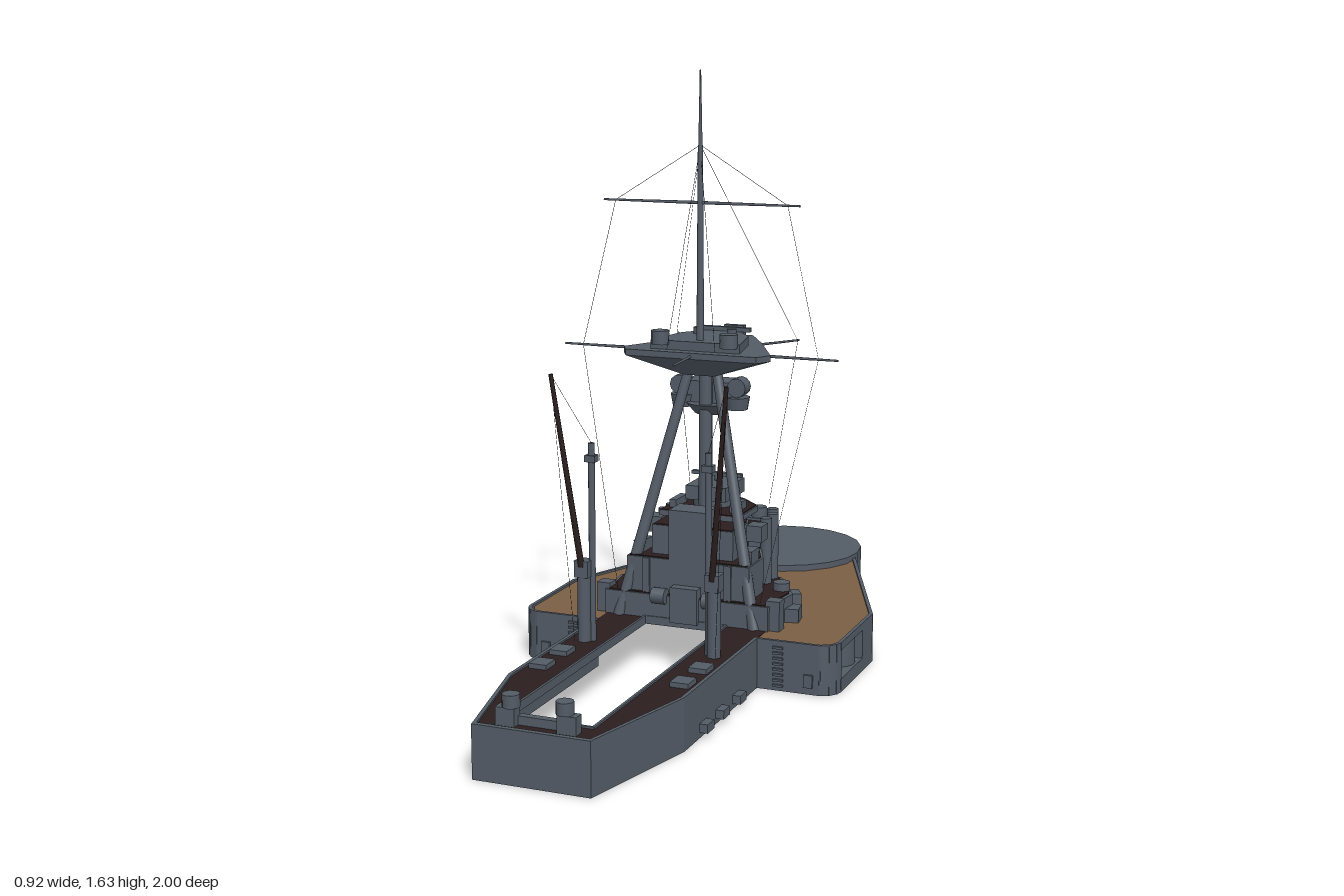
import * as THREE from 'three';
import { ConvexGeometry } from 'three/addons/geometries/ConvexGeometry.js';

const V = (x, y, z) => new THREE.Vector3(x, y, z);

export function createModel() {
  const root = new THREE.Group();
  const paint = (name, color) => {
    const m = new THREE.MeshStandardMaterial({ color });
    m.name = name;
    return m;
  };
  const grey = paint('warship grey', 0x535b66);
  const wood = paint('deck wood', 0x7a5e43);
  const dark = paint('dark brown deck', 0x2a1d1d);
  const black = paint('rigging black', 0x1d1d20);

  const add = (name, geo, mat, x = 0, y = 0, z = 0) => {
    const m = new THREE.Mesh(geo, mat);
    m.name = name;
    m.position.set(x, y, z);
    root.add(m);
    return m;
  };
  // box given by its centre in x and z and by its bottom and top
  const box = (name, w, d, x, z, y0, y1, mat = grey, turn = 0) => {
    const m = add(name, new THREE.BoxGeometry(w, y1 - y0, d), mat, x, (y0 + y1) / 2, z);
    m.rotation.y = turn;
    return m;
  };
  const drum = (name, r, x, z, y0, y1, mat = grey, sides = 16, rTop = r) =>
    add(name, new THREE.CylinderGeometry(rTop, r, y1 - y0, sides), mat, x, (y0 + y1) / 2, z);
  const rod = (name, a, b, r, mat = grey, r2 = r, sides = 8) => {
    const dir = b.clone().sub(a);
    const m = add(name, new THREE.CylinderGeometry(r2, r, dir.length(), sides), mat);
    m.position.copy(a).add(b).multiplyScalar(0.5);
    m.quaternion.setFromUnitVectors(V(0, 1, 0), dir.normalize());
    return m;
  };
  // flat plate from [x, z] corners
  const slab = (name, pts, y0, y1, mat, hole) => {
    const toV = p => p.map(([x, z]) => new THREE.Vector2(x, -z));
    const shape = new THREE.Shape(toV(pts));
    if (hole) shape.holes.push(new THREE.Path(toV(hole)));
    const geo = new THREE.ExtrudeGeometry(shape, { depth: y1 - y0, bevelEnabled: false });
    return add(name, geo.rotateX(-Math.PI / 2), mat, 0, y0, 0);
  };
  const mirror = half => [...half, ...half.map(([x, z]) => [-x, z]).reverse()];
  // upright plating along [x, z] points
  const wall = (name, pts, y0, y1, t = 0.01) => {
    for (let i = 0; i + 1 < pts.length; i++) {
      const [ax, az] = pts[i], [bx, bz] = pts[i + 1];
      box(name, Math.hypot(bx - ax, bz - az) + t * 0.6, t, (ax + bx) / 2, (az + bz) / 2, y0, y1, grey,
        Math.atan2(az - bz, bx - ax));
    }
  };

  // decks
  const opening = [[0.12, 0.05], [0.12, 0.908], [-0.12, 0.908], [-0.12, 0.05]];
  slab('woodDeck', mirror([[0.23, -0.74], [0.45, -0.2], [0.45, 0.07], [0.435, 0.105], [0.41, 0.122], [0.235, 0.122], [0.235, 0.045]]),
    0.125, 0.132, wood);
  slab('aftDeck', mirror([[0.235, 0.03], [0.235, 0.64], [0.145, 0.985]]), 0.125, 0.133, dark, opening);
  slab('midshipUnderside', mirror([[0.445, -0.2], [0.445, 0.07], [0.41, 0.12], [0.235, 0.12], [0.235, 0.045]]), 0.12, 0.125, dark);
  wall('openingCoaming', [...opening, opening[0]], 0.115, 0.138, 0.007);

  // forward gun barbette, open underneath
  const shell = grey.clone();
  shell.name = 'shell grey';
  shell.side = THREE.DoubleSide;
  add('barbetteWall', new THREE.CylinderGeometry(0.24, 0.24, 0.15, 20, 1, true), shell, 0, 0.075, -0.76);
  drum('barbetteTop', 0.24, 0, -0.76, 0.115, 0.15, grey, 20);

  // hull plating
  wall('sternPlate', [[-0.15, 0.99], [0.15, 0.99]], 0, 0.138, 0.014);
  for (const s of [-1, 1]) {
    const M = pts => pts.map(([x, z]) => [s * x, z]);
    wall('aftHullSide', M([[0.235, 0.125], [0.235, 0.64], [0.15, 0.99]]), 0, 0.138);
    wall('innerBulkhead', M([[0.235, 0.12], [0.235, -0.18]]), 0.04, 0.124);
    wall('bulgeEnd', M([[0.455, 0.08], [0.45, 0.098], [0.437, 0.115], [0.415, 0.126], [0.235, 0.126]]), 0, 0.138);
    // casemate recesses along the bulge
    const runs = [
      [[0.455, 0.08], [0.455, -0.2], [[0.0, 0.19]]],
      [[0.455, -0.2], [0.235, -0.74], [[0.02, 0.18], [0.2, 0.36], [0.38, 0.54]]]
    ];
    for (const [a, b, cuts] of runs) {
      const len = Math.hypot(b[0] - a[0], b[1] - a[1]);
      const u = [(b[0] - a[0]) / len, (b[1] - a[1]) / len];
      const at = (k, depth) => [a[0] + u[0] * k + u[1] * depth, a[1] + u[1] * k - u[0] * depth];
      wall('lowerPlating', M([a, b]), 0, 0.037);
      wall('upperPlating', M([a, b]), 0.117, 0.138);
      let from = 0;
      for (const [k0, k1] of cuts) {
        if (k0 > from) wall('casematePlating', M([at(from, 0), at(k0, 0)]), 0.037, 0.117);
        const notch = M([at(k0, 0), at(k0, 0.035), at(k1, 0.06), at(k1, 0)]);
        wall('casemateRecess', notch, 0.034, 0.12, 0.006);
        slab('casemateFloor', notch, 0.032, 0.037, grey);
        slab('casemateRoof', notch, 0.117, 0.121, grey);
        const [cx, cz] = at(k1 - 0.055, 0.05);
        drum('casemateShield', 0.048, s * cx, cz, 0.037, 0.117, grey, 14);
        from = k1;
      }
      wall('casematePlating', M([at(from, 0), at(len, 0)]), 0.037, 0.117);
    }
    // ladders and fittings
    for (let i = 0; i < 8; i++) box('ladderRung', 0.028, 0.008, s * 0.3, 0.135, 0.012 + i * 0.015, 0.018 + i * 0.015);
    box('sideDoor', 0.025, 0.012, s * 0.385, 0.133, 0.02, 0.055);
    for (const z of [0.29, 0.41, 0.52]) box('sideFitting', 0.024, 0.045, s * 0.25, z, 0.015, 0.038);
    for (const z of [0.42, 0.54]) box('deckLocker', 0.05, 0.055, s * 0.195, z, 0.13, 0.146);
    box('sternWinchBed', 0.05, 0.03, s * 0.08, 0.955, 0.13, 0.178);
    drum('sternWinch', 0.022, s * 0.07, 0.955, 0.178, 0.21, grey, 10);

    // boat derricks
    drum('derrickBase', 0.018, s * 0.185, 0.305, 0.13, 0.34);
    box('derrickStep', 0.04, 0.04, s * 0.185, 0.305, 0.31, 0.355);
    drum('derrickPost', 0.009, s * 0.165, 0.295, 0.13, 0.67, grey, 10);
    box('derrickCap', 0.03, 0.025, s * 0.165, 0.295, 0.62, 0.638);
    rod('derrickBoom', V(s * 0.185, 0.34, 0.32), V(s * 0.243, 0.86, 0.372), 0.009, dark, 0.006);
    rod('derrickStay', V(s * 0.165, 0.67, 0.295), V(s * 0.243, 0.86, 0.372), 0.0006, black, 0.0006, 4);
    rod('derrickFall', V(s * 0.243, 0.86, 0.372), V(s * 0.2, 0.14, 0.335), 0.0006, black, 0.0006, 4);
  }
  box('sternBench', 0.2, 0.02, 0, 0.94, 0.13, 0.155);

  // superstructure tiers
  const tier = (name, half, y0, y1) => {
    slab(name, mirror(half), y0, y1, grey);
    slab(name + 'Floor', mirror(half.map(([x, z]) => [x * 0.96, z * 0.96 - 0.003])), y1, y1 + 0.003, dark);
  };
  tier('lowerHouse', [[0.12, -0.27], [0.18, -0.24], [0.26, -0.1], [0.24, 0.05]], 0.13, 0.2);
  tier('middleHouse', [[0.12, -0.24], [0.15, -0.15], [0.18, -0.08], [0.18, 0.035]], 0.2, 0.3);
  tier('upperHouse', [[0.11, -0.15], [0.12, -0.12], [0.12, 0.0]], 0.3, 0.385);
  drum('conningDrum', 0.15, 0, -0.235, 0.13, 0.335, grey, 24);
  drum('conningDrumFloor', 0.144, 0, -0.235, 0.335, 0.338, dark, 24);
  slab('forwardPlatform', mirror([[0.03, -0.384], [0.08, -0.36], [0.09, -0.32]]), 0.335, 0.345, grey);
  drum('upperDrum', 0.08, 0, -0.2, 0.335, 0.4, grey, 20);
  tier('bridge', [[0.05, -0.27], [0.12, -0.2], [0.12, -0.05]], 0.4, 0.415);
  drum('bridgeTower', 0.06, 0, -0.17, 0.415, 0.445, grey, 16);
  box('bridgeRoof', 0.12, 0.15, 0, -0.175, 0.44, 0.48);
  box('rangefinder', 0.15, 0.016, 0, -0.19, 0.494, 0.504);
  drum('rangefinderPost', 0.008, 0, -0.19, 0.48, 0.5, grey, 8);
  box('aftTower', 0.11, 0.08, 0, -0.005, 0.2, 0.44);
  box('aftDoorBlock', 0.08, 0.03, 0, 0.05, 0.13, 0.23);
  for (const s of [-1, 1]) {
    drum('gunTub', 0.024, s * 0.22, -0.12, 0.2, 0.225, grey, 12);
    box('deckBox', 0.05, 0.05, s * 0.22, -0.2, 0.13, 0.175, grey, s * 0.5);
    box('deckBox', 0.045, 0.055, s * 0.265, -0.08, 0.13, 0.17, grey, s * 0.15);
    box('deckBox', 0.04, 0.04, s * 0.25, 0.02, 0.13, 0.215);
    box('sideLocker', 0.03, 0.06, s * 0.16, -0.03, 0.3, 0.335);
    box('wingLookout', 0.045, 0.05, s * 0.15, -0.11, 0.34, 0.385);
    for (const z of [-0.17, -0.225, -0.28]) drum('ventPipe', 0.016, s * (z < -0.25 ? 0.135 : 0.155), z, 0.2, 0.39, grey, 10);
    drum('forwardVent', 0.022, s * 0.07, -0.345, 0.33, 0.375, grey, 10);
    const reel = drum('cableReel', 0.022, s * 0.075, 0.055, 0.18, 0.22, grey, 10);
    reel.rotation.z = Math.PI / 2;
    box('ladder', 0.02, 0.006, s * 0.12, 0.04, 0.2, 0.3);
    box('tubBreastwork', 0.02, 0.08, s * 0.09, -0.12, 0.415, 0.44);
    // tripod legs
    rod('tripodLeg', V(s * 0.2, 0.13, 0.045), V(s * 0.035, 0.84, -0.085), 0.017, grey, 0.014, 12);
  }

  // main mast and spotting top
  drum('lowerMast', 0.019, 0, -0.1, 0.4, 0.85, grey, 12);
  drum('topMast', 0.011, 0, -0.06, 0.82, 1.43, grey, 10, 0.007);
  drum('mastPole', 0.006, 0, -0.06, 1.43, 1.63, grey, 8, 0.002);
  drum('spottingFloor', 0.045, 0, -0.14, 0.685, 0.715, grey, 12, 0.07);
  box('spottingTop', 0.14, 0.085, 0, -0.16, 0.71, 0.775);
  for (const s of [-1, 1]) {
    drum('searchlightTub', 0.03, s * 0.08, -0.135, 0.7, 0.735, grey, 12, 0.036);
    const lamp = drum('searchlight', 0.027, s * 0.085, -0.135, 0.74, 0.785, grey, 12);
    lamp.rotation.x = Math.PI / 2;
  }

  // fighting top with tapered underside
  const rim = mirror([[0.05, -0.34], [0.12, -0.22], [0.215, -0.03], [0.19, 0.015]]);
  const keel = mirror([[0.02, -0.13], [0.045, -0.1], [0.045, -0.05]]);
  add('fightingTop', new ConvexGeometry([
    ...rim.map(([x, z]) => V(x, 0.875, z)), ...rim.map(([x, z]) => V(x, 0.858, z)),
    ...keel.map(([x, z]) => V(x, 0.803, z))]), grey);
  slab('topHouse', mirror([[0.04, -0.25], [0.1, -0.17], [0.13, -0.02]]), 0.875, 0.9, grey);
  box('topLookout', 0.06, 0.02, 0, -0.325, 0.875, 0.905);
  for (const s of [-1, 1]) {
    drum('topGunPost', 0.025, s * 0.1, -0.015, 0.89, 0.928, grey, 10);
    drum('topInstrument', 0.014, s * 0.05, -0.17, 0.9, 0.918, grey, 8);
  }
  box('topRangefinder', 0.16, 0.015, 0, -0.24, 0.9, 0.912);

  // yards and spreaders
  const hub = V(0, 0.868, -0.06);
  for (const s of [-1, 1]) {
    rod('lowerYard', V(0, 0.87, -0.045), V(s * 0.4, 0.87, -0.045), 0.006, grey, 0.003, 6);
    rod('upperYard', V(0, 1.275, -0.06), V(s * 0.285, 1.275, -0.06), 0.005, grey, 0.003, 6);
    rod('forwardSpreader', hub, V(s * 0.185, 0.868, -0.35), 0.005, grey, 0.003, 6);
  }
  rod('aftSpreader', hub, V(0, 0.86, 0.135), 0.005, grey, 0.003, 6);

  // rigging lines
  const line = (...pts) => {
    for (let i = 0; i + 1 < pts.length; i++) rod('rigging', pts[i], pts[i + 1], 0.0006, black, 0.0006, 4);
  };
  const peak = V(0, 1.43, -0.06);
  for (const s of [-1, 1]) {
    line(peak, V(s * 0.25, 1.275, -0.06), V(s * 0.345, 0.87, -0.045), V(s * 0.21, 0.2, 0.03));
    line(peak, V(s * 0.185, 0.868, -0.34), V(s * 0.12, 0.4, -0.29));
    line(peak, V(s * 0.07, 0.88, 0.01));
  }
  return root;
}
